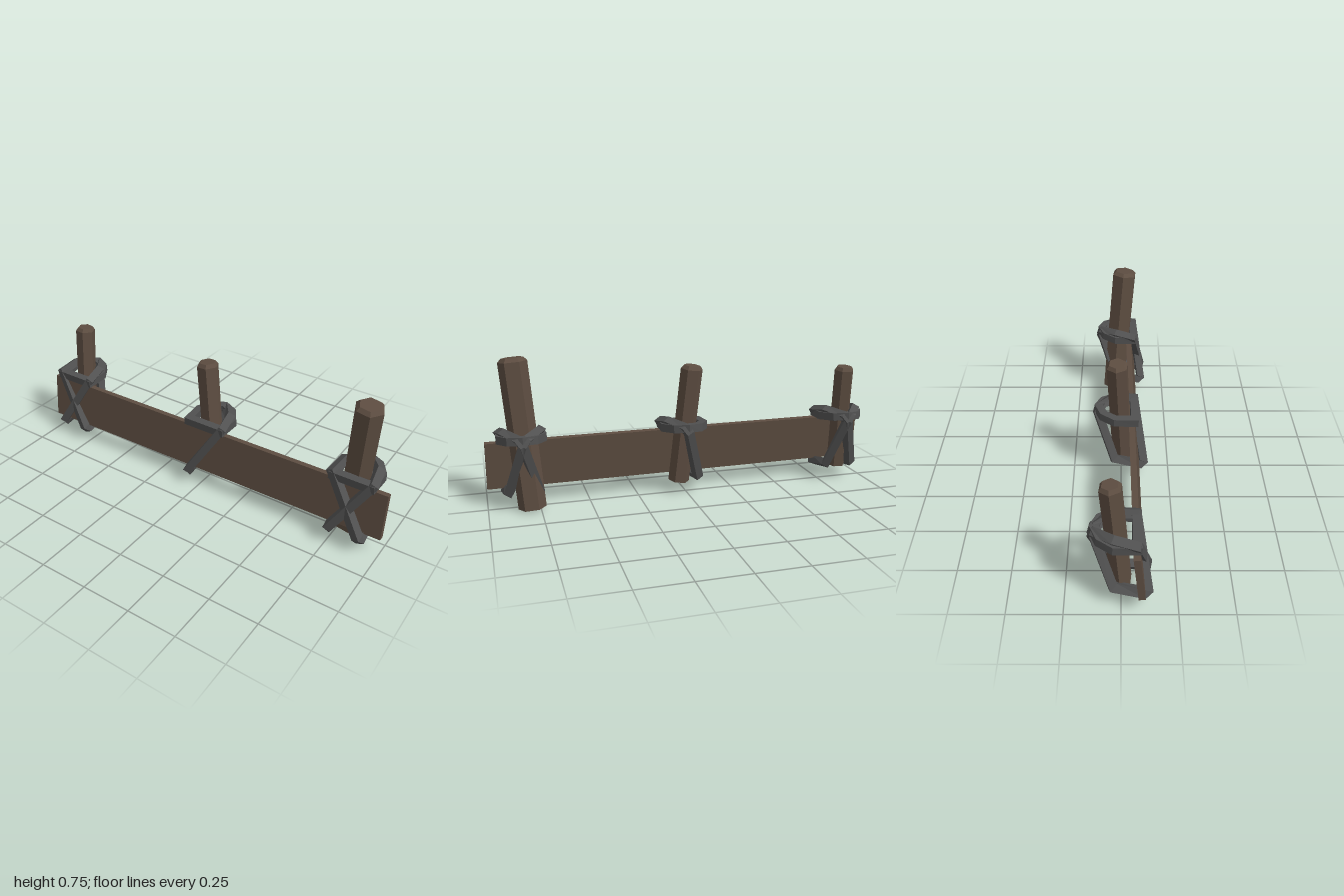
import * as THREE from 'three';

const V = (x, y, z) => new THREE.Vector3(x, y, z);

// Closed square-section strap swept along a loop of points, mitred at the corners
function strapGeometry(points, half) {
  const n = points.length;
  const normal = V(0, 0, 0);
  points.forEach((p, i) => normal.add(p.clone().cross(points[(i + 1) % n])));
  normal.normalize();
  const rings = points.map((p, i) => {
    const a = p.clone().sub(points[(i + n - 1) % n]).normalize();
    const b = points[(i + 1) % n].clone().sub(p).normalize();
    const t = a.clone().add(b).normalize();
    const side = t.clone().cross(normal).normalize();
    const up = side.clone().cross(t);
    const miter = Math.min(1.4, 1 / Math.max(0.3, t.dot(a)));
    return [[1, 1], [1, -1], [-1, -1], [-1, 1]].map(([s, u]) =>
      p.clone().addScaledVector(side, s * half * miter).addScaledVector(up, u * half));
  });
  const pos = [];
  for (let i = 0; i < n; i++) {
    const r = rings[i], q = rings[(i + 1) % n];
    for (let k = 0; k < 4; k++) {
      const m = (k + 1) % 4;
      for (const v of [r[k], r[m], q[m], r[k], q[m], q[k]]) pos.push(v.x, v.y, v.z);
    }
  }
  const g = new THREE.BufferGeometry();
  g.setAttribute('position', new THREE.Float32BufferAttribute(pos, 3));
  g.computeVertexNormals();
  return g;
}

// Six-sided post with a slightly bevelled top, leaning from bottom to top
function postGeometry(length, r) {
  const g = new THREE.LatheGeometry([
    new THREE.Vector2(0, 0), new THREE.Vector2(r * 0.97, 0),
    new THREE.Vector2(r, length - 0.018), new THREE.Vector2(r * 0.75, length),
    new THREE.Vector2(0, length)], 6).toNonIndexed();
  g.computeVertexNormals();
  return g;
}

export function createModel() {
  const model = new THREE.Group();
  model.name = 'fence';
  const wood = new THREE.MeshStandardMaterial({ color: 0x5d4d41 });
  const strap = new THREE.MeshStandardMaterial({ color: 0x505050 });
  wood.name = 'brown wood';
  strap.name = 'dark grey strap';
  wood.flatShading = strap.flatShading = true;

  const add = (name, geometry, material, parent = model) => {
    const mesh = new THREE.Mesh(geometry, material);
    mesh.name = name;
    parent.add(mesh);
    return mesh;
  };

  // Long plank, leaning back and slightly turned
  const plank = add('plank', new THREE.BoxGeometry(1.995, 0.24, 0.03), wood);
  plank.position.set(0, 0.21, 0.066);
  plank.rotation.set(-0.1, 0.0125, 0);

  // Leaning posts
  const posts = [
    ['leftPost', V(0.79, 0.008, -0.043), V(0.845, 0.742, 0.02), 0.07],
    ['middlePost', V(0.035, 0.062, 0.005), V(-0.03, 0.667, -0.02), 0.056],
    ['rightPost', V(-0.86, 0.072, 0.0), V(-0.86, 0.622, -0.045), 0.052],
  ];
  for (const [name, bottom, top, r] of posts) {
    const dir = top.clone().sub(bottom);
    const post = add(name, postGeometry(dir.length(), r), wood);
    post.position.copy(bottom);
    const lean = new THREE.Quaternion().setFromUnitVectors(V(0, 1, 0), dir.normalize());
    const spin = new THREE.Quaternion().setFromAxisAngle(V(0, 1, 0), 0.42);
    post.quaternion.copy(lean.multiply(spin));
  }

  // Collar around each post, and diagonal loops slung under the plank
  const collar = [
    V(-0.095, 0.355, 0.068), V(0.095, 0.355, 0.068), V(0.1, 0.36, -0.03),
    V(0.06, 0.365, -0.09), V(0, 0.37, -0.115), V(-0.06, 0.365, -0.09), V(-0.1, 0.36, -0.03)];
  const loop = side => [
    V(0.1, 0.365, 0.066), V(-0.075, 0.085, 0.116), V(-0.08, 0.068, 0.1),
    V(-0.07, 0.093, -0.035), V(0, 0.345, -0.12), V(0.02, 0.37, -0.11),
    V(0.085, 0.385, -0.03)].map(p => V(p.x * side, p.y, p.z));

  const bindings = [
    ['leftBinding', 0.825, [1, -1]],
    ['middleBinding', 0.015, [1]],
    ['rightBinding', -0.855, [1, -1]],
  ];
  for (const [name, x, sides] of bindings) {
    const group = new THREE.Group();
    group.name = name;
    group.position.x = x;
    model.add(group);
    add('collar', strapGeometry(collar, 0.02), strap, group);
    for (const s of sides) add('diagonalLoop', strapGeometry(loop(s), 0.02), strap, group);
  }
  return model;
}
